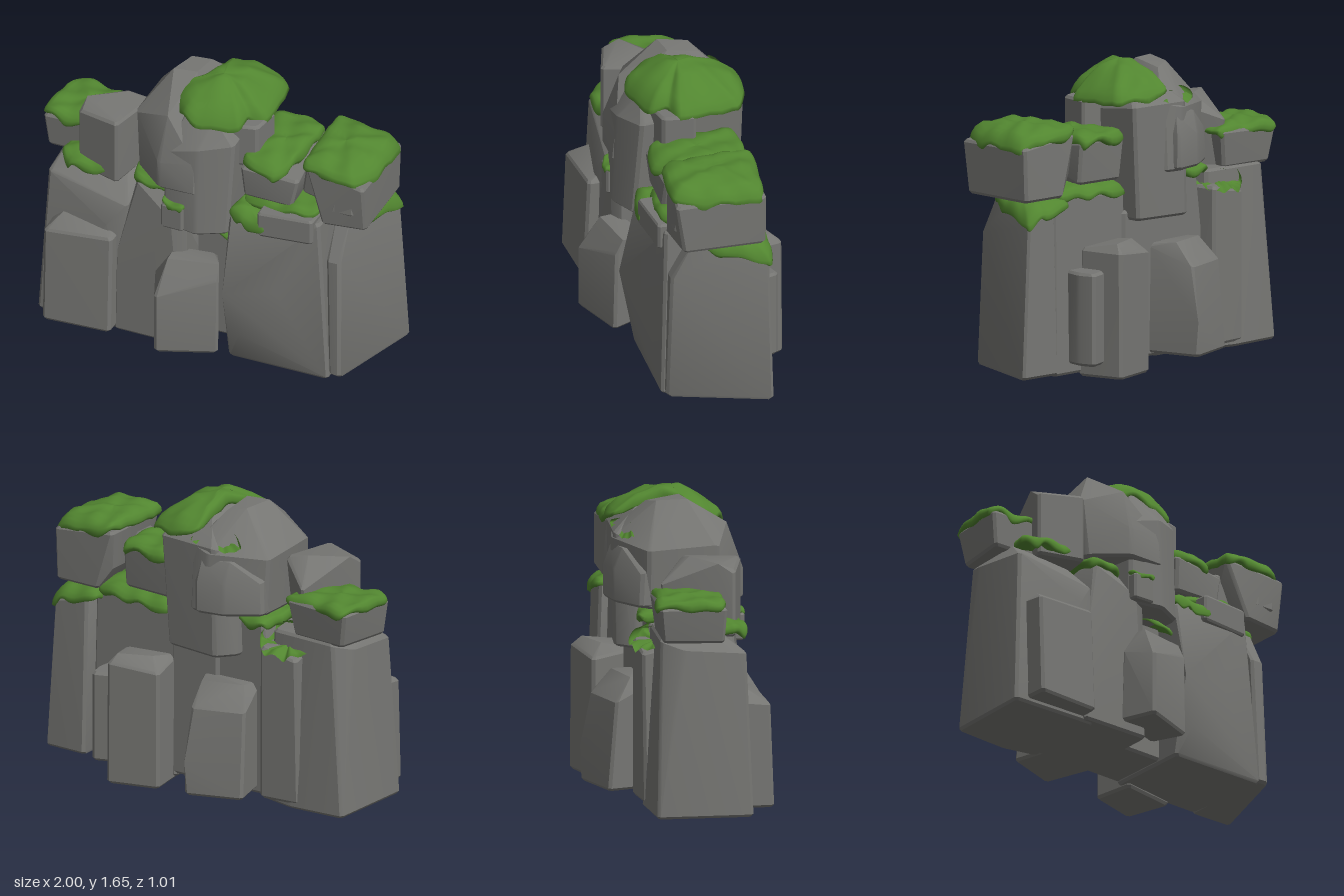
import * as THREE from 'three';
import { ConvexGeometry } from 'three/addons/geometries/ConvexGeometry.js';
import { toCreasedNormals } from 'three/addons/utils/BufferGeometryUtils.js';

const stone = new THREE.MeshStandardMaterial({ color: 0x767673 });
stone.name = 'grey stone';
const green = new THREE.MeshStandardMaterial({ color: 0x528630 });
green.name = 'moss green';

// Cut each corner of a ring of points, then add a copy pulled inward for a bevelled rim
function bevelRing(ring, b, up) {
  const c = ring.reduce((s, p) => s.add(p), new THREE.Vector3()).divideScalar(ring.length);
  const out = [];
  ring.forEach((p, i) => {
    for (const q of [ring[(i + 1) % ring.length], ring[(i + ring.length - 1) % ring.length]]) {
      const e = p.clone().add(q.clone().sub(p).setLength(Math.min(b, p.distanceTo(q) * 0.3)));
      const rim = e.clone().add(c.clone().sub(e).setY(0).setLength(b));
      out.push(rim, e.setY(e.y - up * b));
    }
  });
  return out;
}

// Boulder: base outline [x, z] at height y0, crown outline [x, y, z] and extra peaks or bulges
function rock(name, y0, base, crown, extra = [], b = 0.015) {
  const low = base.map(([x, z]) => new THREE.Vector3(x, y0, z));
  const high = crown.map((p) => new THREE.Vector3(...p));
  const more = extra.map((p) => new THREE.Vector3(...p));
  const hull = new ConvexGeometry([...bevelRing(low, b, -1), ...bevelRing(high, b, 1), ...more]);
  const mesh = new THREE.Mesh(toCreasedNormals(hull, 0.42), stone);
  mesh.name = name;
  return mesh;
}

// Straight-sided block from y0 to y1
const block = (name, y0, y1, base, b) => rock(name, y0, base, base.map(([x, z]) => [x, y1, z]), [], b);

// Soft cushion of moss: a rim curve rising to a centre, with a wavy lower edge
function moss(name, centre, rim, thick = 0.05, bulge = 2.4) {
  const N = 64;
  const curve = new THREE.CatmullRomCurve3(rim.map((p) => new THREE.Vector3(...p)), true, 'catmullrom', 0.3);
  const edge = Array.from({ length: N }, (_, i) => curve.getPoint(i / N));
  const c = new THREE.Vector3(...centre);
  // each ring: distance from the centre, drop below the top skin
  const rings = [[0.001, 0], [0.2, 0], [0.4, 0], [0.6, 0], [0.78, 0], [0.91, 0.04], [0.98, 0.3], [1, 0.65], [0.95, 1], [0.7, 1], [0.001, 1]];
  const pos = [], idx = [];
  rings.forEach(([t, drop], r) => edge.forEach((e, i) => {
    const p = c.clone().lerp(e, t);
    p.y = e.y + (c.y - e.y) * (1 - t ** bulge);
    const lump = Math.sin(p.x * 31 + p.z * 17) * Math.sin(p.z * 27 - p.x * 9) * 0.012;
    const a0 = (i / N) * Math.PI * 2;
    const ragged = 1 + t * (0.22 * Math.sin(a0 * 5 + c.x * 20) + 0.16 * Math.sin(a0 * 8 + c.z * 9));
    pos.push(p.x, p.y + lump - drop * thick * ragged, p.z);
    if (r < rings.length - 1) {
      const j = (i + 1) % N, a = r * N, n = a + N;
      idx.push(a + i, n + i, a + j, a + j, n + i, n + j);
    }
  }));
  const geo = new THREE.BufferGeometry();
  geo.setAttribute('position', new THREE.Float32BufferAttribute(pos, 3));
  geo.setIndex(idx);
  geo.computeVertexNormals();
  const mesh = new THREE.Mesh(geo, green);
  mesh.name = name;
  return mesh;
}

export function createModel() {
  const model = new THREE.Group();
  model.name = 'mossyRocks';

  // Large lower blocks
  model.add(
    rock('outerRightBlock', 0.02, [[-0.96, 0.27], [-0.42, 0.29], [-0.4, -0.22], [-0.6, -0.27], [-0.93, -0.25]],
      [[-0.91, 0.93, 0.24], [-0.43, 0.84, 0.28], [-0.42, 1, 0], [-0.45, 1, -0.2], [-0.85, 1, -0.22], [-0.91, 0.96, -0.1]],
      [[-0.86, 1.01, 0.12], [-0.5, 1, 0.12], [-0.54, 0.7, 0.31]]),
    rock('innerRightBlock', 0.03, [[-0.5, 0.31], [-0.08, 0.32], [-0.06, -0.2], [-0.5, -0.2]],
      [[-0.39, 1.01, 0.26], [-0.08, 0.82, 0.3], [-0.07, 1, -0.2], [-0.38, 1.03, -0.2]],
      [[-0.21, 1.03, 0.2], [-0.16, 0.85, 0.33], [-0.48, 0.55, 0.3]]),
    block('coreBlock', 0.04, 0.86, [[-0.1, 0.14], [0.2, 0.14], [0.2, -0.22], [-0.1, -0.22]]),
    rock('innerLeftBlock', 0.02, [[0.16, 0.29], [0.75, 0.3], [0.72, -0.22], [0.17, -0.22]],
      [[0.16, 0.93, 0.28], [0.68, 0.99, 0.26], [0.71, 1, -0.2], [0.17, 0.97, -0.2]],
      [[0.16, 0.47, 0.37], [0.45, 0.53, 0.325], [0.24, 0.2, 0.33]]),
    rock('outerLeftBlock', 0.04, [[0.74, 0.28], [0.81, 0.29], [1, -0.26], [0.74, -0.27]],
      [[0.72, 0.78, 0.26], [0.8, 0.78, 0.26], [0.95, 0.89, -0.25], [0.74, 0.95, -0.24]],
      [[0.81, 0.99, 0.13], [0.73, 0.99, 0.13], [0.88, 0.97, -0.05], [0.76, 1, -0.18]]),
  );

  // Small stones leaning on the front
  model.add(
    rock('frontRightStone', 0.05, [[-0.88, 0.4], [-0.49, 0.385], [-0.48, 0.1], [-0.88, 0.1]],
      [[-0.88, 0.63, 0.38], [-0.49, 0.65, 0.36], [-0.48, 0.66, 0.1], [-0.87, 0.66, 0.1]],
      [[-0.81, 0.69, 0.27], [-0.55, 0.69, 0.24]]),
    rock('frontMiddleStone', 0.09, [[-0.18, 0.51], [0.145, 0.39], [0.06, 0.2], [-0.25, 0.3]],
      [[-0.18, 0.46, 0.51], [0.145, 0.57, 0.38], [0.06, 0.62, 0.2], [-0.25, 0.51, 0.32]],
      [[-0.15, 0.635, 0.39], [0.13, 0.64, 0.34], [-0.15, 0.645, 0.28]]),
    block('frontSlab', 0.87, 1.02, [[0.34, 0.32], [0.65, 0.29], [0.66, 0.08], [0.34, 0.08]], 0.012),
  );

  // Small stones leaning on the back
  model.add(
    rock('backMiddleStone', 0.06, [[-0.39, -0.41], [-0.08, -0.51], [0.01, -0.2], [-0.33, -0.15]],
      [[-0.38, 0.56, -0.37], [-0.09, 0.56, -0.46], [0, 0.66, -0.2], [-0.33, 0.66, -0.15]],
      [[-0.08, 0.25, -0.51], [-0.31, 0.67, -0.28], [-0.08, 0.67, -0.34]]),
    rock('backLeftStone', 0, [[0.17, -0.39], [0.46, -0.465], [0.53, -0.2], [0.2, -0.15]],
      [[0.17, 0.67, -0.39], [0.46, 0.7, -0.46], [0.51, 0.7, -0.2], [0.2, 0.71, -0.15]],
      [[0.25, 0.735, -0.33], [0.43, 0.735, -0.4]]),
    block('backSideSlab', 0.08, 0.59, [[0.48, -0.36], [0.6, -0.4], [0.63, -0.3], [0.6, -0.15], [0.48, -0.15]]),
    rock('backRightStone', 0.05, [[-0.66, -0.27], [-0.42, -0.29], [-0.38, -0.1], [-0.66, -0.1]],
      [[-0.65, 0.88, -0.28], [-0.42, 0.92, -0.29], [-0.4, 0.92, -0.1], [-0.65, 0.92, -0.1]]),
  );

  // Central tower and the peak beside it
  model.add(
    rock('centreTower', 0.81, [[-0.2, 0.33], [0, 0.37], [0.16, 0.29], [0.17, -0.3], [-0.16, -0.34], [-0.25, -0.24]],
      [[-0.2, 1.3, 0.33], [0, 1.36, 0.34], [0.18, 1.38, 0.25], [0.21, 1.45, -0.31], [-0.15, 1.45, -0.34], [-0.23, 1.4, -0.22]],
      [[-0.1, 1.52, 0.2], [0.05, 1.5, 0.22], [0, 1.6, 0], [-0.05, 1.55, -0.2]]),
    block('towerFoot', 0.82, 0.97, [[-0.2, 0.37], [-0.07, 0.375], [-0.07, 0.25], [-0.2, 0.25]], 0.01),
    block('towerSideStone', 1.2, 1.46, [[0.1, 0.2], [0.28, 0.16], [0.31, -0.02], [0.12, -0.05]]),
    rock('peakStone', 1.06, [[-0.4, 0.2], [-0.22, 0.36], [0, 0.36], [0, -0.34], [-0.12, -0.36], [-0.4, -0.2]],
      [[-0.42, 1.42, 0.18], [-0.22, 1.24, 0.36], [0, 1.27, 0.34], [0, 1.45, -0.32], [-0.12, 1.42, -0.35], [-0.42, 1.4, -0.2]],
      [[-0.26, 1.63, 0.04], [-0.13, 1.63, 0.02], [-0.22, 1.62, -0.12], [-0.12, 1.6, -0.16], [-0.2, 1.48, 0.27]]),
    rock('peakBackStone', 1.07, [[-0.41, -0.24], [-0.23, -0.36], [-0.06, -0.385], [-0.02, -0.15], [-0.38, 0]],
      [[-0.4, 1.27, -0.23], [-0.23, 1.27, -0.36], [-0.06, 1.26, -0.385], [-0.03, 1.38, -0.15], [-0.38, 1.36, 0]],
      [[-0.24, 1.37, -0.31], [-0.08, 1.37, -0.34]]),
  );

  // Upper stones on both shoulders
  model.add(
    rock('tiltedStone', 0.97, [[-0.75, 0.21], [-0.49, 0.29], [-0.43, 0.01], [-0.6, -0.15]],
      [[-0.75, 1.34, 0.21], [-0.49, 1.36, 0.29], [-0.41, 1.36, -0.02], [-0.62, 1.26, -0.18]],
      [[-0.73, 1.375, 0.12], [-0.54, 1.38, 0]]),
    rock('rightShoulderStone', 0.99, [[-0.97, 0.11], [-0.6, 0.12], [-0.58, -0.2], [-0.91, -0.22]],
      [[-0.99, 1.19, 0.12], [-0.58, 1.2, 0.13], [-0.55, 1.2, -0.22], [-0.94, 1.19, -0.24]]),
    rock('leftShoulderStone', 1, [[0.69, 0.26], [0.94, 0.23], [0.95, -0.23], [0.67, -0.24]],
      [[0.58, 1.34, 0.22], [0.94, 1.29, 0.27], [0.96, 1.3, -0.23], [0.58, 1.34, -0.23]],
      [[0.6, 1.12, 0.1], [0.6, 1.12, -0.2]]),
    rock('shoulderKnob', 1.09, [[0.74, 0.26], [0.88, 0.26], [0.9, 0.13], [0.74, 0.13]],
      [[0.78, 1.26, 0.25], [0.88, 1.27, 0.25], [0.9, 1.27, 0.13], [0.76, 1.27, 0.13]]),
    rock('shoulderSideStone', 1.09, [[0.53, 0.14], [0.68, 0.18], [0.68, 0], [0.53, 0]],
      [[0.55, 1.27, 0.14], [0.68, 1.27, 0.18], [0.68, 1.27, 0], [0.55, 1.27, 0]]),
    rock('saddleStone', 1.04, [[0.22, 0.22], [0.51, 0.23], [0.52, -0.2], [0.22, -0.22]],
      [[0.21, 1.24, 0.24], [0.54, 1.21, 0.22], [0.52, 1.28, -0.22], [0.2, 1.28, -0.23]]),
  );

  // Moss cushions on the upper stones
  model.add(
    moss('towerMoss', [0.02, 1.65, 0],
      [[-0.24, 1.54, 0.1], [-0.13, 1.52, 0.24], [-0.04, 1.49, 0.28], [0.18, 1.48, 0.21], [0.21, 1.48, 0.11], [0.3, 1.47, 0.06],
        [0.29, 1.48, -0.26], [0.13, 1.51, -0.34], [-0.03, 1.53, -0.32], [-0.05, 1.63, -0.06], [-0.12, 1.62, 0.04]], 0.05, 2),
    moss('peakBackMoss', [-0.14, 1.49, -0.25],
      [[-0.28, 1.47, -0.26], [-0.2, 1.45, -0.31], [0, 1.48, -0.33], [0, 1.51, -0.22], [-0.16, 1.51, -0.2]], 0.035),
    moss('leftShoulderMoss', [0.73, 1.395, 0],
      [[0.57, 1.37, 0.22], [0.68, 1.36, 0.27], [0.88, 1.33, 0.27], [0.96, 1.31, 0.1], [0.965, 1.32, -0.2], [0.78, 1.35, -0.24], [0.59, 1.38, -0.23]], 0.055, 4),
    moss('saddleMoss', [0.38, 1.325, 0],
      [[0.21, 1.29, 0.2], [0.4, 1.25, 0.26], [0.48, 1.29, 0.16], [0.52, 1.32, -0.1], [0.5, 1.31, -0.24], [0.22, 1.31, -0.24]], 0.06),
    moss('rightShoulderMoss', [-0.8, 1.235, -0.05],
      [[-1, 1.23, 0.08], [-0.87, 1.21, 0.13], [-0.58, 1.21, 0.12], [-0.53, 1.21, -0.2], [-0.7, 1.21, -0.22], [-0.93, 1.22, -0.25]], 0.05, 3),
  );

  // Moss on the lower ledges
  model.add(
    moss('outerRightMoss', [-0.72, 1.07, 0.12],
      [[-0.85, 1.06, 0.18], [-0.78, 1.04, 0.27], [-0.64, 1.03, 0.28], [-0.52, 1.04, 0.24], [-0.54, 1.04, 0.05], [-0.8, 1.06, 0]], 0.05),
    moss('backLedgeMoss', [-0.54, 0.99, -0.18],
      [[-0.68, 0.97, -0.23], [-0.6, 0.95, -0.31], [-0.46, 0.95, -0.32], [-0.38, 0.98, -0.22], [-0.4, 1.02, -0.08], [-0.68, 1.02, -0.08]], 0.06),
    moss('innerRightMoss', [-0.3, 1.055, 0.05],
      [[-0.41, 1.04, 0.24], [-0.22, 1.03, 0.26], [-0.18, 1.04, -0.18], [-0.42, 1.05, -0.24]], 0.05),
    moss('innerLeftMoss', [0.44, 1.07, 0],
      [[0.2, 1, 0.18], [0.42, 1.04, 0.26], [0.65, 1.06, 0.23], [0.69, 1.03, -0.2], [0.45, 1.01, -0.25], [0.2, 1, -0.23]], 0.05),
    moss('hangingMoss', [0.26, 0.99, 0.24],
      [[0.16, 0.97, 0.27], [0.25, 0.94, 0.31], [0.38, 0.92, 0.32], [0.34, 0.99, 0.2], [0.2, 1, 0.15]], 0.045),
    moss('outerLeftMoss', [0.82, 1.02, -0.05],
      [[0.72, 1, 0.11], [0.82, 1, 0.14], [0.9, 0.97, 0], [0.96, 0.9, -0.25], [0.85, 0.95, -0.28], [0.66, 0.98, -0.26]], 0.05),
    moss('creviceMoss', [0.06, 0.87, 0.08],
      [[-0.06, 0.86, 0.12], [0.02, 0.82, 0.22], [0.16, 0.77, 0.26], [0.2, 0.8, 0.1], [0.1, 0.87, 0]], 0.03),
    moss('towerFootMoss', [-0.13, 0.99, 0.33],
      [[-0.2, 0.99, 0.35], [-0.13, 0.98, 0.385], [-0.07, 0.97, 0.38], [-0.07, 0.99, 0.29], [-0.19, 0.99, 0.28]], 0.025),
  );
  return model;
}
